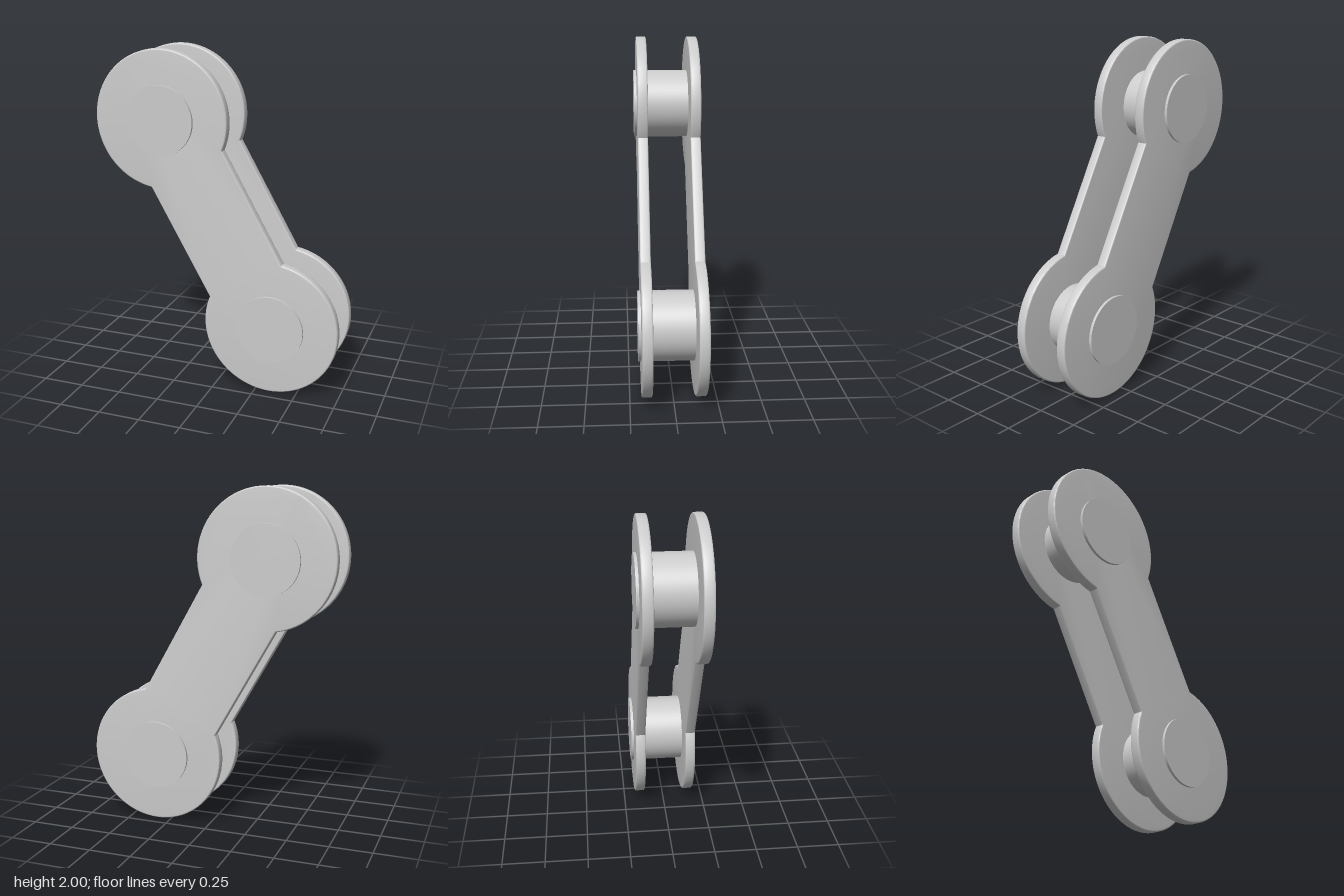
import * as THREE from 'three';
import { toCreasedNormals } from 'three/addons/utils/BufferGeometryUtils.js';

const HALF_PITCH = 0.684; // half the distance between the pins
const LOBE = 0.405;       // radius of the plate ends
const WAIST = 0.252;      // half width of the bar between them
const PIN = 0.203;
const LEAN = 0.515;       // tilt of the link
const BEVEL = 0.008;

// Two round lobes joined by a straight bar
function plateShape() {
  const a = Math.acos(WAIST / LOBE);
  const shape = new THREE.Shape();
  shape.absarc(0, HALF_PITCH, LOBE, -a, Math.PI + a, false);
  shape.absarc(0, -HALF_PITCH, LOBE, Math.PI - a, 2 * Math.PI + a, false);
  shape.closePath();
  return shape;
}

export function createModel() {
  const link = new THREE.Group();
  link.name = 'chainLink';
  const material = new THREE.MeshStandardMaterial({ color: 0xcccccc });

  // Side plates with softly rounded rims
  const thickness = 0.06;
  const plate = new THREE.ExtrudeGeometry(plateShape(), {
    depth: thickness - 2 * BEVEL,
    curveSegments: 64,
    bevelEnabled: true,
    bevelThickness: BEVEL,
    bevelSize: BEVEL,
    bevelOffset: -BEVEL,
    bevelSegments: 3,
  });
  plate.translate(0, 0, BEVEL - thickness / 2);
  const plateGeometry = toCreasedNormals(plate, 0.6);
  for (const [name, z] of [['frontPlate', 0.153], ['backPlate', -0.153]]) {
    const mesh = new THREE.Mesh(plateGeometry, material);
    mesh.name = name;
    mesh.position.z = z;
    link.add(mesh);
  }

  // Pins passing through both plates
  const pinGeometry = new THREE.CylinderGeometry(PIN, PIN, 0.398, 64).rotateX(Math.PI / 2);
  for (const [name, y] of [['upperPin', HALF_PITCH], ['lowerPin', -HALF_PITCH]]) {
    const mesh = new THREE.Mesh(pinGeometry, material);
    mesh.name = name;
    mesh.position.y = y;
    link.add(mesh);
  }

  link.rotation.z = LEAN;
  link.position.y = 1;
  const model = new THREE.Group();
  model.name = 'model';
  model.add(link);
  return model;
}
